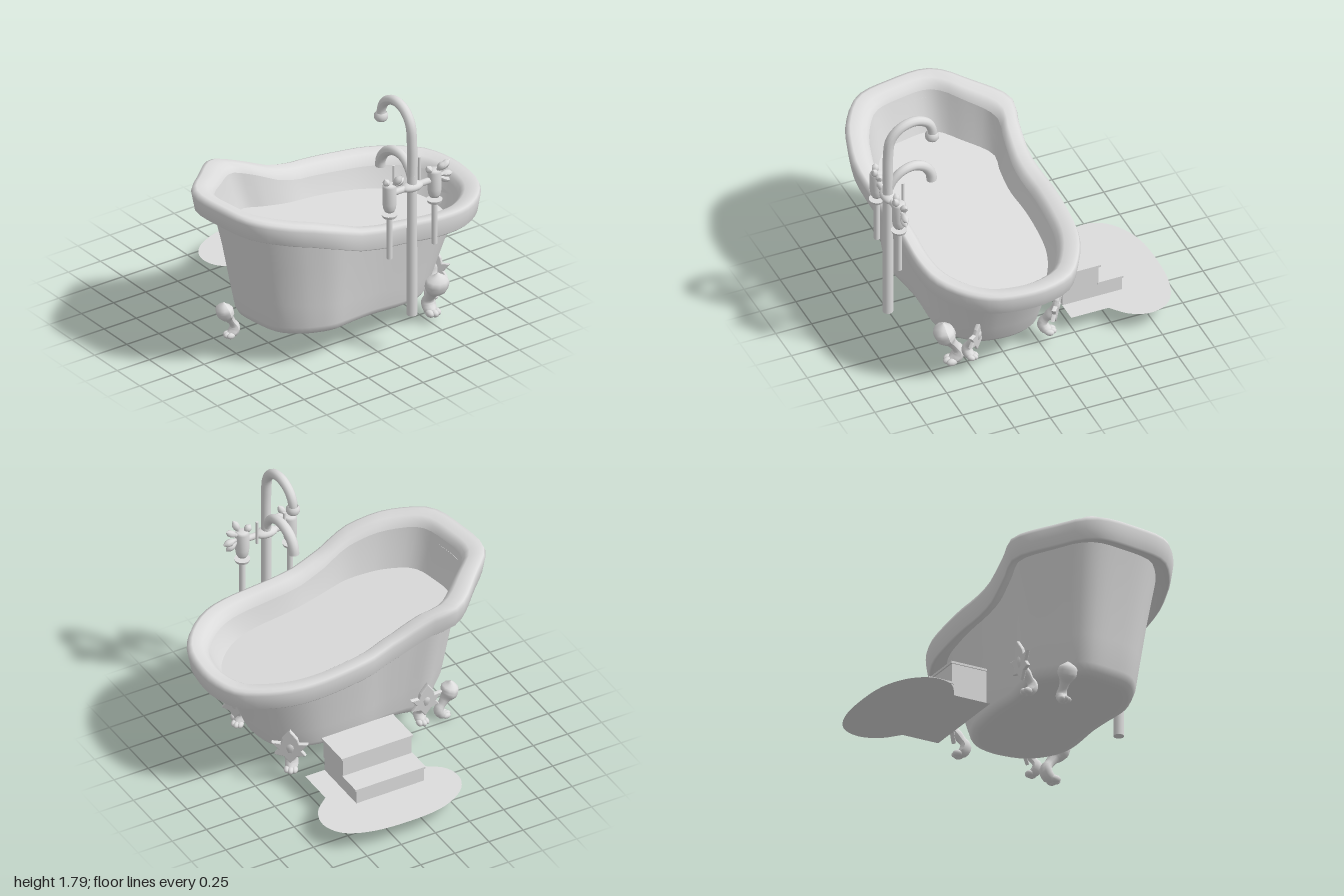
import * as THREE from 'three';

const enamel = new THREE.MeshStandardMaterial({ color: 0xdcdcdc, side: THREE.DoubleSide });
enamel.name = 'light grey';

const V = (x, y, z) => new THREE.Vector3(x, y, z);

function add(parent, name, geometry, x = 0, y = 0, z = 0) {
  const mesh = new THREE.Mesh(geometry, enamel);
  mesh.name = name;
  mesh.position.set(x, y, z);
  parent.add(mesh);
  return mesh;
}

// Surface through closed rings of equal point count
function loft(rings) {
  const n = rings[0].length, index = [];
  for (let r = 0; r < rings.length - 1; r++) {
    for (let i = 0; i < n; i++) {
      const a = r * n + i, b = r * n + (i + 1) % n;
      index.push(a, a + n, b, b, a + n, b + n);
    }
  }
  const g = new THREE.BufferGeometry().setFromPoints(rings.flat());
  g.setIndex(index);
  g.computeVertexNormals();
  return g;
}

// Tube along a curve whose radius follows a list of radii
function taperTube(points, radii, sides = 10, segs = 24) {
  const curve = new THREE.CatmullRomCurve3(points);
  const g = new THREE.TubeGeometry(curve, segs, 1, sides);
  const pos = g.attributes.position, v = V(0, 0, 0);
  for (let i = 0; i <= segs; i++) {
    const c = curve.getPointAt(i / segs), f = (i / segs) * (radii.length - 1);
    const k = Math.min(Math.floor(f), radii.length - 2);
    const r = THREE.MathUtils.lerp(radii[k], radii[k + 1], f - k);
    for (let j = 0; j <= sides; j++) {
      const id = i * (sides + 1) + j;
      v.fromBufferAttribute(pos, id).sub(c).multiplyScalar(r).add(c);
      pos.setXYZ(id, v.x, v.y, v.z);
    }
  }
  g.computeVertexNormals();
  return g;
}

// Rim plan and its height, which falls from the front to the back
const rimPlan = new THREE.CatmullRomCurve3([
  [0.1, 0.995], [0.4, 0.985], [0.64, 0.92], [0.8, 0.72], [0.86, 0.55], [0.885, 0.4], [0.85, 0.15],
  [0.82, -0.1], [0.82, -0.5], [0.78, -0.68], [0.66, -0.85], [0.5, -0.96], [0.3, -1], [0.13, -0.995],
  [-0.05, -0.93], [-0.17, -0.78], [-0.25, -0.6], [-0.28, -0.4], [-0.28, -0.1], [-0.25, 0.15],
  [-0.27, 0.4], [-0.3, 0.58], [-0.1, 0.82],
].map(([x, z]) => V(x, 0, z)), true, 'centripetal').getSpacedPoints(72).slice(0, 72);

const slope = [[-1.1, 0.835], [-0.4, 0.885], [0, 0.93], [0.2, 0.985], [0.4, 1.07], [0.6, 1.13], [0.9, 1.185], [1.1, 1.2]];
function rimHeight(z) {
  const k = slope.findIndex(p => p[0] >= z);
  const [a, b] = [slope[k - 1], slope[k]];
  return THREE.MathUtils.mapLinear(z, a[0], b[0], a[1], b[1]);
}
// A scaled copy of the rim plan; height is given by a rule on the rim height
const ring = (sx, sz, cz, height) => rimPlan.map(p =>
  V(0.31 + (p.x - 0.3) * sx, height(rimHeight(p.z), p.z), cz + p.z * sz));

function buildTub(parent) {
  const tub = new THREE.Group();
  tub.name = 'bathtub';
  parent.add(tub);
  const base = z => 0.2 + z * 0.02;
  const up = t => (h, z) => THREE.MathUtils.lerp(base(z), h - 0.12, t);
  add(tub, 'tubBody', loft([
    ring(0, 0, 0.05, () => 0.2), ring(0.5, 0.5, 0.05, up(0)), ring(0.6, 0.6, 0.045, up(0.005)),
    ring(0.645, 0.645, 0.04, up(0.035)), ring(0.67, 0.67, 0.04, up(0.09)),
    ring(0.705, 0.71, 0.035, up(0.3)), ring(0.77, 0.775, 0.025, up(0.65)), ring(0.84, 0.85, 0.02, up(1)),
  ]));
  add(tub, 'rolledRim', loft([
    [0.82, 0.84, -0.12], [0.9, 0.91, -0.14], [0.96, 0.965, -0.155], [0.975, 0.98, -0.145], [0.99, 0.99, -0.09],
    [1, 1, -0.035], [0.985, 0.99, -0.008], [0.95, 0.965, 0],
    [0.84, 0.9, -0.01], [0.79, 0.87, -0.035], [0.76, 0.855, -0.07],
  ].map(([sx, sz, dy]) => ring(sx, sz, 0, h => h + dy))));
  // Basin floor rises gently toward the tall end
  const floorY = (h, z) => 0.735 + z * 0.11;
  add(tub, 'innerWall', loft([
    ring(0.76, 0.855, 0, h => h - 0.07), ring(0.73, 0.82, 0, (h, z) => (h - 0.07 + floorY(h, z)) / 2),
    ring(0.69, 0.775, 0, floorY),
  ]));
  add(tub, 'basinFloor', loft([ring(0.69, 0.775, 0, floorY), ring(0, 0, 0, () => 0.735)]));
}

// Claw foot; local +z points away from the tub
function buildFoot(parent, name, x, y, z, turn, size, leafy) {
  const foot = new THREE.Group();
  foot.name = name;
  foot.position.set(x, y, z);
  foot.rotation.y = turn;
  foot.scale.setScalar(size);
  parent.add(foot);
  const r = leafy ? 0.025 : 0.055;
  add(foot, 'clawLeg', taperTube(
    [V(0, 0.27, 0.035), V(0, 0.23, 0.035), V(0, 0.18, 0.02), V(0, 0.12, -0.02), V(0, 0.07, -0.05),
      V(0, 0.035, -0.035), V(0, 0.02, 0.02)],
    [0.001, r, r, 0.03, 0.024, 0.033, 0.032, 0.001])).scale.x = 1.2;
  [-1, 0, 1].forEach(s => {
    add(foot, 'toe', new THREE.SphereGeometry(0.02, 10, 8), s * 0.022, 0.02, 0.005 - Math.abs(s) * 0.01).scale.z = 1.5;
  });
  if (!leafy) return;
  // Spiky leaf spreading against the tub wall
  const half = [[0.035, 0.18], [0.085, 0.19], [0.06, 0.225], [0.1, 0.275], [0.05, 0.27], [0.04, 0.31]];
  const mirrored = half.map(([a, b]) => [-a, b]).reverse();
  const leaf = new THREE.Shape([[0, 0.13], ...half, [0, 0.37], ...mirrored].map(([a, b]) => new THREE.Vector2(a, b)));
  add(foot, 'leafCrown', new THREE.ExtrudeGeometry(leaf,
    { depth: 0.01, bevelSize: 0.006, bevelThickness: 0.008, bevelSegments: 2 }), 0, -0.03, 0).rotation.x = 0.12;
}

function buildTaps(parent) {
  const taps = new THREE.Group();
  taps.name = 'standingTap';
  parent.add(taps);
  const px = 0.9, pz = -0.16;
  const cyl = (name, r1, r2, y0, y1, x, z) =>
    add(taps, name, new THREE.CylinderGeometry(r1, r2, y1 - y0, 16), x, (y0 + y1) / 2, z);

  cyl('standPipe', 0.033, 0.035, 0.29, 1.3, px, pz);
  // Tall and short goosenecks
  add(taps, 'tallSpout', taperTube(
    [V(px, 1.28, pz), V(px, 1.52, pz), V(0.88, 1.66, pz), V(0.81, 1.735, pz), V(0.71, 1.755, pz + 0.005),
      V(0.62, 1.71, pz + 0.012), V(0.585, 1.64, pz + 0.016), V(0.585, 1.6, pz + 0.018)],
    [0.033, 0.033, 0.033, 0.03], 12, 32));
  add(taps, 'spoutCollar', new THREE.LatheGeometry(
    [[0, 0], [0.036, 0], [0.045, 0.015], [0.045, 0.04], [0.034, 0.055]].map(([a, b]) => new THREE.Vector2(a, b)), 16),
    0.585, 1.565, pz + 0.018);
  add(taps, 'shortSpout', taperTube(
    [V(px, 1.24, pz), V(0.87, 1.32, pz), V(0.8, 1.385, pz), V(0.71, 1.395, pz + 0.01), V(0.63, 1.35, pz + 0.02),
      V(0.59, 1.28, pz + 0.025), V(0.585, 1.235, pz + 0.025)],
    [0.026, 0.03, 0.034, 0.034], 12, 28));

  // Cross bar and centre boss
  add(taps, 'crossBar', new THREE.CylinderGeometry(0.022, 0.022, 0.34, 12), px, 1.215, pz).rotation.x = Math.PI / 2;
  add(taps, 'centreBoss', new THREE.SphereGeometry(0.055, 16, 10), px, 1.215, pz).scale.set(0.9, 0.6, 1.5);

  // Paired valves with lobed handles and supply pipes; spokes are offsets from the valve
  const spokes = {
    1: [[0, 0.09, 0.035], [0.02, 0.07, -0.1], [0.05, 0.11, -0.06]],
    '-1': [[0, 0.08, 0.06], [0, 0.08, -0.12], [0, -0.02, -0.14], [0, -0.07, -0.12], [0.05, 0.11, -0.04]],
  };
  [1, -1].forEach(s => {
    const z = pz + s * 0.175;
    cyl('supplyPipe', 0.02, 0.02, 0.75, 1.04, px, z);
    cyl('pipeFlange', 0.052, 0.045, 1.05, 1.07, px, z);
    add(taps, 'valve', new THREE.LatheGeometry(
      [[0, 1.09], [0.03, 1.09], [0.04, 1.11], [0.046, 1.15], [0.046, 1.27], [0.035, 1.285], [0, 1.285]]
        .map(([a, b]) => new THREE.Vector2(a, b)), 16), px, 0, z);
    cyl('handleRod', 0.009, 0.009, 1.2, 1.37, 0.84, pz + s * 0.1);
    spokes[s].forEach(([dx, dy, dz]) => {
      const hub = V(px, 1.24, z);
      const tip = hub.clone().add(V(dx, dy, dz));
      add(taps, 'handleSpoke', taperTube([hub, hub.clone().lerp(tip, 0.5), tip],
        [0.012, 0.012, 0.012, 0.024, 0.024, 0.001], 8, 12));
    });
  });
}

function buildStep(parent) {
  const stool = new THREE.Group();
  stool.name = 'stepStool';
  parent.add(stool);
  const box = (name, x0, x1, y0, y1, z0, z1) => add(stool, name,
    new THREE.BoxGeometry(x1 - x0, y1 - y0, z1 - z0), (x0 + x1) / 2, (y0 + y1) / 2, (z0 + z1) / 2);
  box('lowerStep', -0.633, -0.22, 0.132, 0.23, -0.37, 0.125);
  box('lowerTread', -0.642, -0.46, 0.23, 0.245, -0.38, 0.132);
  box('upperStep', -0.47, -0.22, 0.23, 0.375, -0.375, 0.125);
  box('upperTread', -0.48, -0.22, 0.375, 0.39, -0.39, 0.132);
}

function buildMat(parent) {
  const s = new THREE.Shape();
  s.moveTo(-0.22, -0.51);
  s.lineTo(-0.48, -0.51);
  s.splineThru([[-0.58, -0.62], [-0.72, -0.665], [-0.86, -0.6], [-0.94, -0.42], [-0.962, -0.16], [-0.94, 0.08],
    [-0.85, 0.26], [-0.72, 0.34], [-0.58, 0.31], [-0.48, 0.17]].map(([a, b]) => new THREE.Vector2(a, b)));
  s.lineTo(-0.22, 0.17);
  add(parent, 'bathMat', new THREE.ShapeGeometry(s, 4).rotateX(Math.PI / 2), 0, 0.13, 0);
}

export function createModel() {
  const model = new THREE.Group();
  model.name = 'clawfootBath';
  buildTub(model);
  buildFoot(model, 'frontFoot', 0.05, 0, 0.67, 0, 1, false);
  buildFoot(model, 'leftBackFoot', 0.63, 0.04, -0.52, Math.PI / 2, 1.25, false);
  buildFoot(model, 'backFoot', 0.5, 0.09, -0.6, -Math.PI * 0.8, 1, true);
  buildFoot(model, 'rightBackFoot', -0.07, 0.07, -0.53, -Math.PI * 0.7, 1.1, true);
  buildFoot(model, 'rightFrontFoot', -0.1, 0.12, 0.42, -Math.PI / 2, 1.05, true);
  buildTaps(model);
  buildStep(model);
  buildMat(model);
  return model;
}
